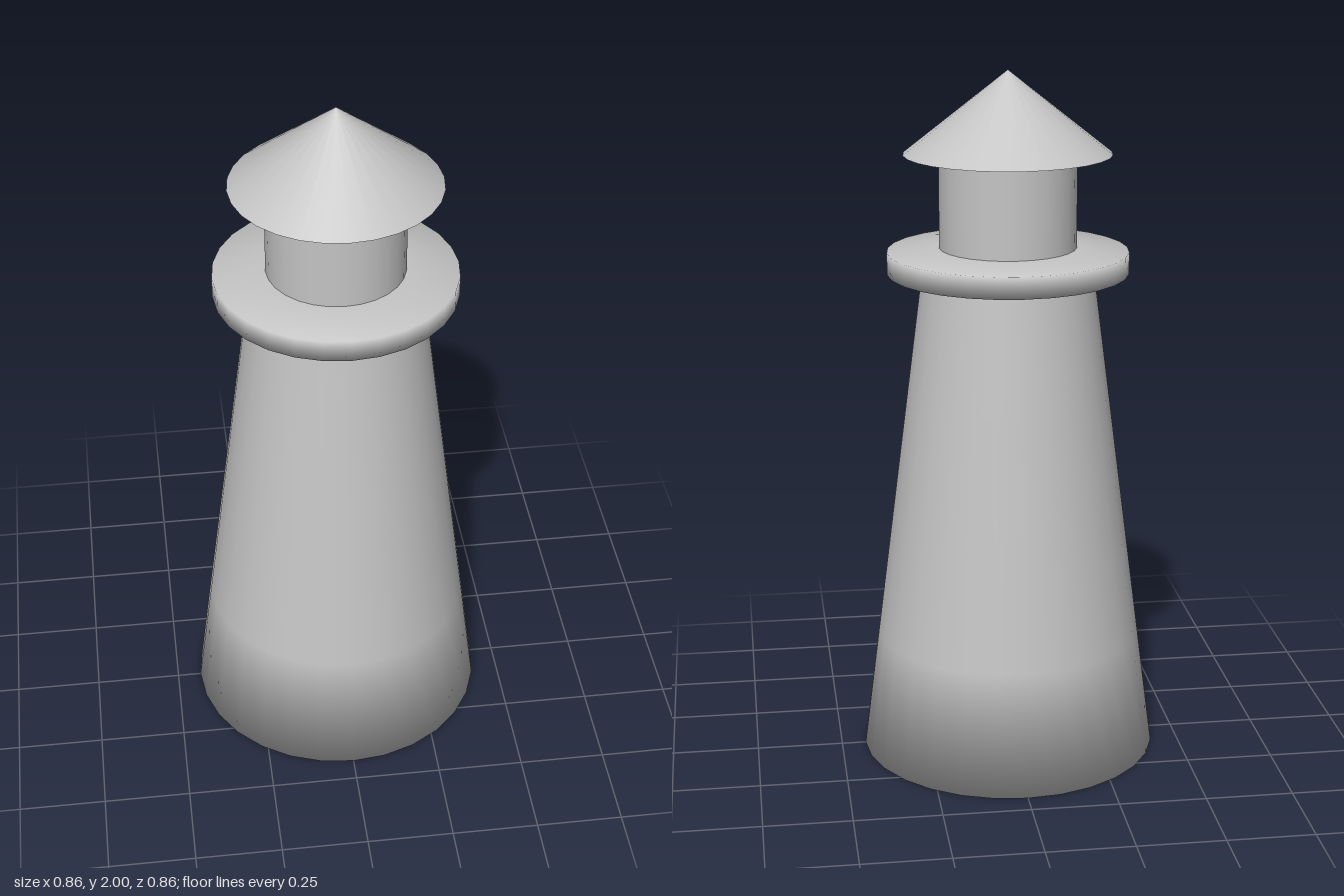
import * as THREE from 'three';

export function createModel() {
  const model = new THREE.Group();
  const stone = new THREE.MeshStandardMaterial({ color: 0xc4c4c4 });
  stone.name = 'light grey stone';
  const SIDES = 28;

  // Turned part: profile of [radius, height] points, listed bottom to top
  function turned(name, profile) {
    const points = profile.map(([r, y]) => new THREE.Vector2(r, y));
    const mesh = new THREE.Mesh(new THREE.LatheGeometry(points, SIDES), stone);
    mesh.name = name;
    model.add(mesh);
  }

  // Tapered tower with a closed base, shaded softly into its foot
  const towerHeight = 1.43, rings = 4;
  const tower = [[0, 0]];
  for (let i = 0; i <= rings; i++) {
    const t = i / rings;
    tower.push([THREE.MathUtils.lerp(0.43, 0.245, t), t * towerHeight]);
  }
  turned('tower', tower);

  // Walkway disc with a softly rounded rim
  turned('gallery', [[0.19, 1.42], [0.343, 1.43], [0.343, 1.492], [0.19, 1.503]]);

  // Lamp room
  turned('lanternRoom', [[0.195, 1.49], [0.195, 1.775]]);

  // Conical roof and its underside
  turned('roofUnderside', [[0, 1.76], [0.195, 1.76], [0.294, 1.767]]);
  turned('roof', [[0.294, 1.767], [0, 2]]);

  return model;
}
